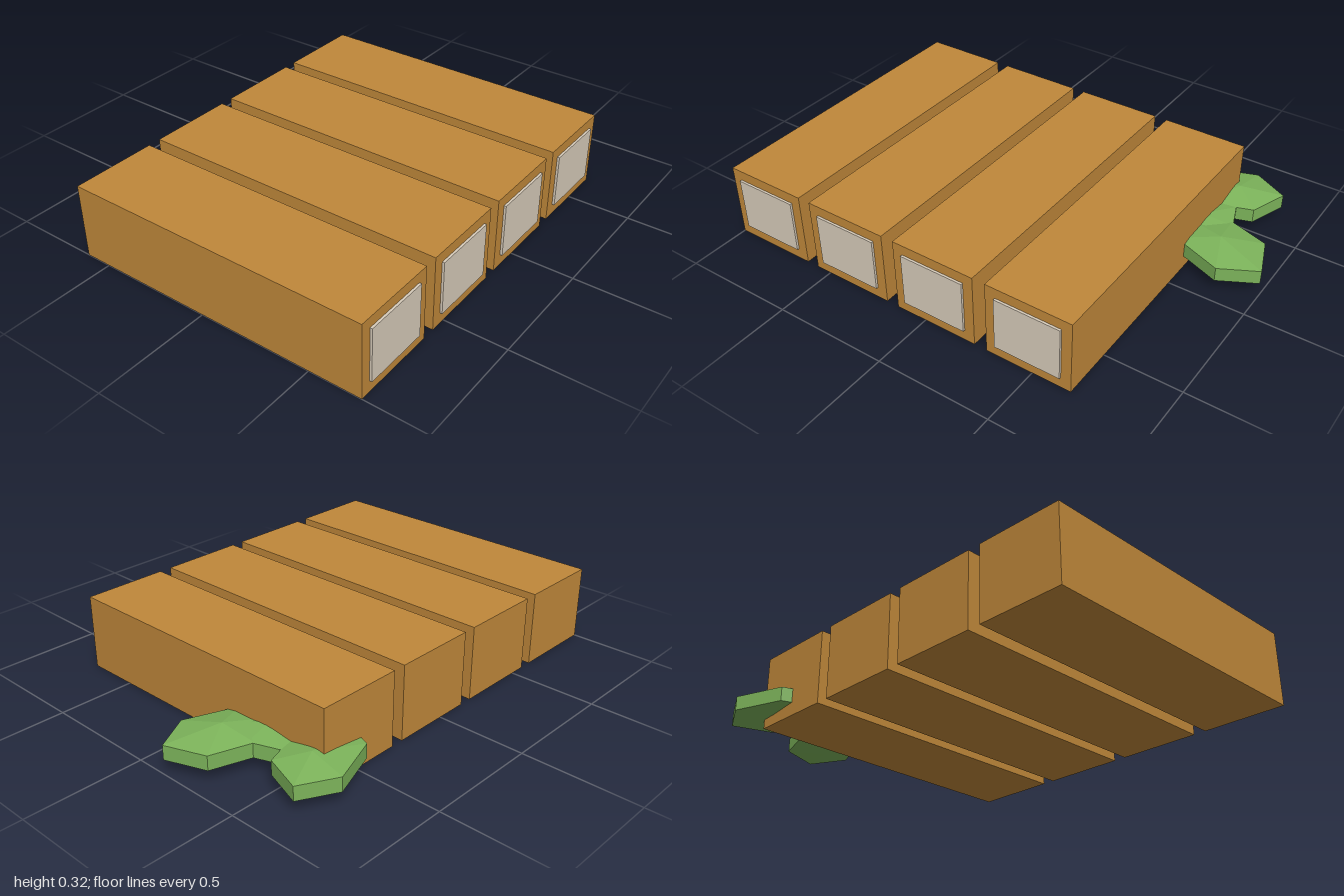
import * as THREE from 'three';

const wood = new THREE.MeshStandardMaterial({ color: 0xc0883a, flatShading: true });
const pale = new THREE.MeshStandardMaterial({ color: 0xd8ccba, flatShading: true });
const green = new THREE.MeshStandardMaterial({ color: 0x7cb35a, flatShading: true });

function box(name, size, pos, material) {
  const mesh = new THREE.Mesh(new THREE.BoxGeometry(...size), material);
  mesh.name = name;
  mesh.position.set(...pos);
  return mesh;
}

// Faceted leaf: a polygon rim (clockwise from above) with a shallow point above and below
function leaf(name, rim, [cx, cz], rimHalf, peak, midY) {
  const verts = [];
  const low = midY - rimHalf, high = midY + rimHalf;
  rim.forEach(([x, z], i) => {
    const [u, w] = rim[(i + 1) % rim.length];
    verts.push(cx, midY + peak, cz, u, high, w, x, high, z);
    verts.push(cx, midY - peak, cz, x, low, z, u, low, w);
    verts.push(x, low, z, x, high, z, u, high, w);
    verts.push(x, low, z, u, high, w, u, low, w);
  });
  const geo = new THREE.BufferGeometry();
  geo.setAttribute('position', new THREE.Float32BufferAttribute(verts, 3));
  geo.computeVertexNormals();
  const mesh = new THREE.Mesh(geo, green);
  mesh.name = name;
  return mesh;
}

export function createModel() {
  const model = new THREE.Group();
  model.name = 'boxRow';

  // Four long boxes, each with a pale panel on the front end
  for (let i = 0; i < 4; i++) {
    const x = -0.8125 + i * 0.431;
    const unit = new THREE.Group();
    unit.name = `unit${i + 1}`;
    unit.add(box('woodenBox', [0.375, 0.325, 1.345], [x, 0.1625, 0.0555], wood));
    unit.add(box('frontPanel', [0.287, 0.232, 0.02], [x, 0.165, 0.728], pale));
    model.add(unit);
  }

  // Leaf cluster poking out beside the last box
  const foliage = new THREE.Group();
  foliage.name = 'foliage';
  foliage.add(
    leaf('backLeaf', [[0.49, -0.66], [0.705, -0.738], [0.86, -0.655], [0.8, -0.487], [0.6, -0.42], [0.44, -0.53]],
      [0.69, -0.58], 0.031, 0.059, 0.091),
    leaf('frontLeaf', [[0.76, -0.363], [0.935, -0.305], [0.998, -0.135], [0.84, -0.05], [0.62, -0.135], [0.6, -0.28]],
      [0.78, -0.21], 0.031, 0.061, 0.091),
    leaf('middleLeaf', [[0.73, -0.465], [0.775, -0.34], [0.74, -0.2], [0.55, -0.17], [0.45, -0.3], [0.55, -0.47]],
      [0.64, -0.32], 0.031, 0.052, 0.091),
  );
  model.add(foliage);
  return model;
}
